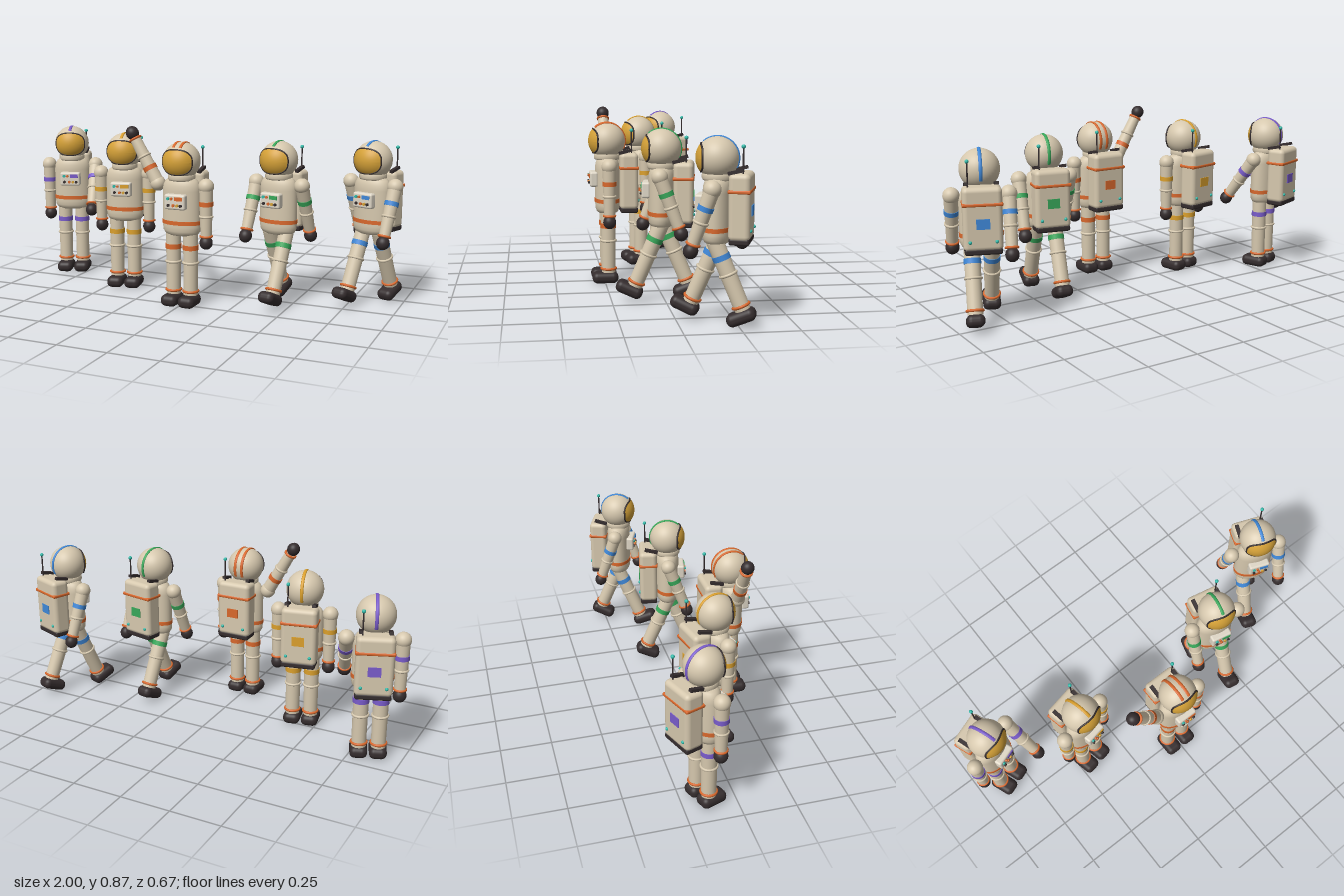
import * as THREE from 'three';
import { RoundedBoxGeometry } from 'three/addons/geometries/RoundedBoxGeometry.js';

const mat = (name, color) => {
  const m = new THREE.MeshStandardMaterial({ color });
  m.name = name;
  return m;
};
const M = {
  suit: mat('suit cream', 0xd6c8ae),
  panel: mat('panel white', 0xe0d8c8),
  dark: mat('dark rubber', 0x352d2e),
  gold: mat('visor gold', 0xd6a238),
  orange: mat('trim orange', 0xd9682c),
  teal: mat('light teal', 0x30b8a8),
  purple: mat('accent purple', 0x7a5ccc),
  yellow: mat('accent yellow', 0xdba02c),
  green: mat('accent green', 0x38a85a),
  blue: mat('accent blue', 0x3f88d8),
};

function add(parent, name, geometry, material, x = 0, y = 0, z = 0) {
  const mesh = new THREE.Mesh(geometry, material);
  mesh.name = name;
  mesh.position.set(x, y, z);
  parent.add(mesh);
  return mesh;
}
function group(parent, name, x = 0, y = 0, z = 0) {
  const g = new THREE.Group();
  g.name = name;
  g.position.set(x, y, z);
  parent.add(g);
  return g;
}
const cyl = (rTop, rBottom, h) => new THREE.CylinderGeometry(rTop, rBottom, h, 28);
const ring = (r, tube) => new THREE.TorusGeometry(r, tube, 10, 32).rotateX(Math.PI / 2);
const rbox = (w, h, d, r) => new RoundedBoxGeometry(w, h, d, 4, r);
const ball = (r) => new THREE.SphereGeometry(r, 28, 20);

// Rounded-rectangular visor outline laid on a sphere of radius R
function visorPoint(angle, t, R) {
  const soft = (v) => Math.sign(v) * Math.abs(v) ** 0.82;
  const x = 0.077 * t * soft(Math.cos(angle));
  const y = 0.06 * t * soft(Math.sin(angle));
  return new THREE.Vector3(x, y, Math.sqrt(R * R - x * x - y * y));
}

function visorGeometry() {
  const geo = new THREE.RingGeometry(0.002, 1, 48, 10);
  const p = geo.attributes.position;
  for (let i = 0; i < p.count; i++) {
    const v = visorPoint(Math.atan2(p.getY(i), p.getX(i)), Math.hypot(p.getX(i), p.getY(i)), 0.0945);
    p.setXYZ(i, v.x, v.y, v.z);
  }
  geo.computeVertexNormals();
  return geo;
}

function addHelmet(body, accent, stripes) {
  const g = group(body, 'helmet', 0, 0.718, 0);
  add(g, 'helmetShell', new THREE.SphereGeometry(0.0915, 40, 28), M.suit);
  add(g, 'visor', visorGeometry(), M.gold);
  const outline = [];
  for (let i = 0; i < 40; i++) outline.push(visorPoint((i / 40) * Math.PI * 2, 1, 0.0925));
  add(g, 'visorRim', new THREE.TubeGeometry(new THREE.CatmullRomCurve3(outline, true), 80, 0.0045, 8, true), M.dark);
  // Raised stripes running over the crown to the back
  for (const x of stripes) {
    const r = Math.sqrt(0.0915 ** 2 - x * x);
    const stripe = new THREE.TorusGeometry(r, 0.0042, 8, 40, 2.75)
      .rotateZ(0.85).rotateY(-Math.PI / 2).scale(1.9, 1, 1);
    add(g, 'helmetStripe', stripe, accent, x, 0, 0);
  }
}

function addTorso(body, accent) {
  const profile = [[0, 0.355], [0.07, 0.355], [0.086, 0.363], [0.095, 0.378], [0.098, 0.4], [0.098, 0.575],
    [0.094, 0.601], [0.083, 0.622], [0.065, 0.634], [0, 0.636]].map(([r, y]) => new THREE.Vector2(r, y));
  add(body, 'torso', new THREE.LatheGeometry(profile, 40), M.suit).scale.z = 0.63;
  add(body, 'belt', cyl(0.1005, 0.1005, 0.019), M.orange, 0, 0.42, 0).scale.z = 0.64;
  const neck = [[0.05, 0.622], [0.063, 0.625], [0.067, 0.633], [0.067, 0.648], [0.063, 0.656], [0.05, 0.659]]
    .map(([r, y]) => new THREE.Vector2(r, y));
  add(body, 'neckRing', new THREE.LatheGeometry(neck, 36), M.suit);

  // Chest control box with screen, light and knobs
  const chest = group(body, 'chestPanel', 0, 0.528, 0.07);
  add(chest, 'panelBox', rbox(0.108, 0.074, 0.04, 0.01), M.panel);
  add(chest, 'panelScreen', new THREE.BoxGeometry(0.042, 0.018, 0.006), accent, 0.022, 0.017, 0.021);
  const knob = (x, y, r, m) => add(chest, 'panelKnob', cyl(r, r, 0.009).rotateX(Math.PI / 2), m, x, y, 0.0235);
  knob(-0.032, 0.017, 0.007, M.teal);
  knob(-0.014, 0.017, 0.006, M.orange);
  knob(-0.03, -0.015, 0.007, M.dark);
  knob(-0.004, -0.015, 0.007, M.orange);
  knob(0.016, -0.015, 0.007, M.gold);
  knob(0.034, -0.015, 0.007, M.dark);
}

function addBackpack(body, accent) {
  const g = group(body, 'backpack', 0, 0, -0.104);
  add(g, 'packBody', rbox(0.174, 0.285, 0.092, 0.022), M.suit, 0, 0.518, 0);
  add(g, 'packBase', rbox(0.166, 0.03, 0.088, 0.01), M.dark, 0, 0.374, 0);
  add(g, 'packBand', rbox(0.179, 0.016, 0.097, 0.006), M.orange, 0, 0.585, 0);
  add(g, 'packPlate', new THREE.BoxGeometry(0.06, 0.046, 0.006), accent, 0, 0.5, -0.0465);
  add(g, 'antennaPole', cyl(0.0035, 0.0035, 0.12), M.dark, 0.06, 0.71, -0.013);
  add(g, 'antennaTip', ball(0.009), M.teal, 0.06, 0.773, -0.013);
  for (const s of [-1, 1]) {
    add(g, 'packLight', ball(0.008), M.teal, s * 0.058, 0.42, -0.046);
    add(g, 'shoulderStrap', new THREE.BoxGeometry(0.018, 0.014, 0.068), M.dark, s * 0.066, 0.667, 0.017).rotation.x = 0.24;
  }
}

// Arm hangs along -y from the shoulder
function addArm(body, side, accent, [swing, lift]) {
  const g = group(body, side > 0 ? 'leftArm' : 'rightArm', side * 0.128, 0.6, 0);
  g.rotation.set(-swing, 0, side * lift);
  add(g, 'shoulder', ball(0.038), M.suit);
  add(g, 'upperArm', cyl(0.034, 0.03, 0.15), M.suit, 0, -0.075, 0);
  add(g, 'armBand', cyl(0.0345, 0.0345, 0.022), accent, 0, -0.084, 0);
  add(g, 'elbowRing', ring(0.029, 0.0065), M.suit, 0, -0.147, 0);
  add(g, 'forearm', cyl(0.03, 0.027, 0.1), M.suit, 0, -0.197, 0);
  add(g, 'wristRing', ring(0.027, 0.006), M.orange, 0, -0.244, 0);
  add(g, 'glove', ball(0.032), M.dark, 0, -0.276, 0).scale.y = 1.06;
}

// Leg hangs along -y from the hip, boot included
function addLeg(body, side, accent, swing) {
  const g = group(body, side > 0 ? 'leftLeg' : 'rightLeg', side * 0.046, 0.365, 0);
  g.rotation.x = -swing;
  add(g, 'hip', ball(0.037), M.suit);
  add(g, 'legTube', cyl(0.037, 0.035, 0.31), M.suit, 0, -0.155, 0);
  add(g, 'legBand', cyl(0.0392, 0.0392, 0.024), accent, 0, -0.07, 0);
  add(g, 'kneeRing', ring(0.036, 0.0065), M.suit, 0, -0.147, 0);
  add(g, 'ankleRing', ring(0.036, 0.0065), M.orange, 0, -0.291, 0);
  add(g, 'boot', rbox(0.084, 0.057, 0.13, 0.026), M.dark, 0, -0.3365, 0.017);
}

// Limb poses are [left, right]; arms give forward swing and outward lift
const crew = [
  { x: -0.84, z: -0.148, turn: 0.36, accent: M.purple, arms: [[0.62, 0], [0, 0]], legs: [0, 0] },
  { x: -0.42, z: 0.028, turn: 0.21, accent: M.yellow, arms: [[0, 0], [0, 0]], legs: [0, 0] },
  { x: 0, z: 0.233, turn: 0, accent: M.orange, arms: [[0, 0], [0, 2.62]], legs: [0, 0], stripes: [-0.018, 0.018] },
  { x: 0.42, z: 0.015, turn: -0.2, accent: M.green, arms: [[-0.36, 0], [0.36, 0]], legs: [0.4, -0.4] },
  { x: 0.84, z: -0.165, turn: -0.36, accent: M.blue, arms: [[0.33, 0], [-0.33, 0]], legs: [-0.4, 0.4] },
];

export function createModel() {
  const root = new THREE.Group();
  root.name = 'astronautCrew';
  for (const c of crew) {
    const body = group(root, 'astronaut', c.x, 0, c.z);
    body.rotation.y = c.turn;
    addHelmet(body, c.accent, c.stripes ?? [0]);
    addTorso(body, c.accent);
    addBackpack(body, c.accent);
    [1, -1].forEach((side, i) => {
      addArm(body, side, c.accent, c.arms[i]);
      addLeg(body, side, c.accent, c.legs[i]);
    });
  }
  return root;
}
